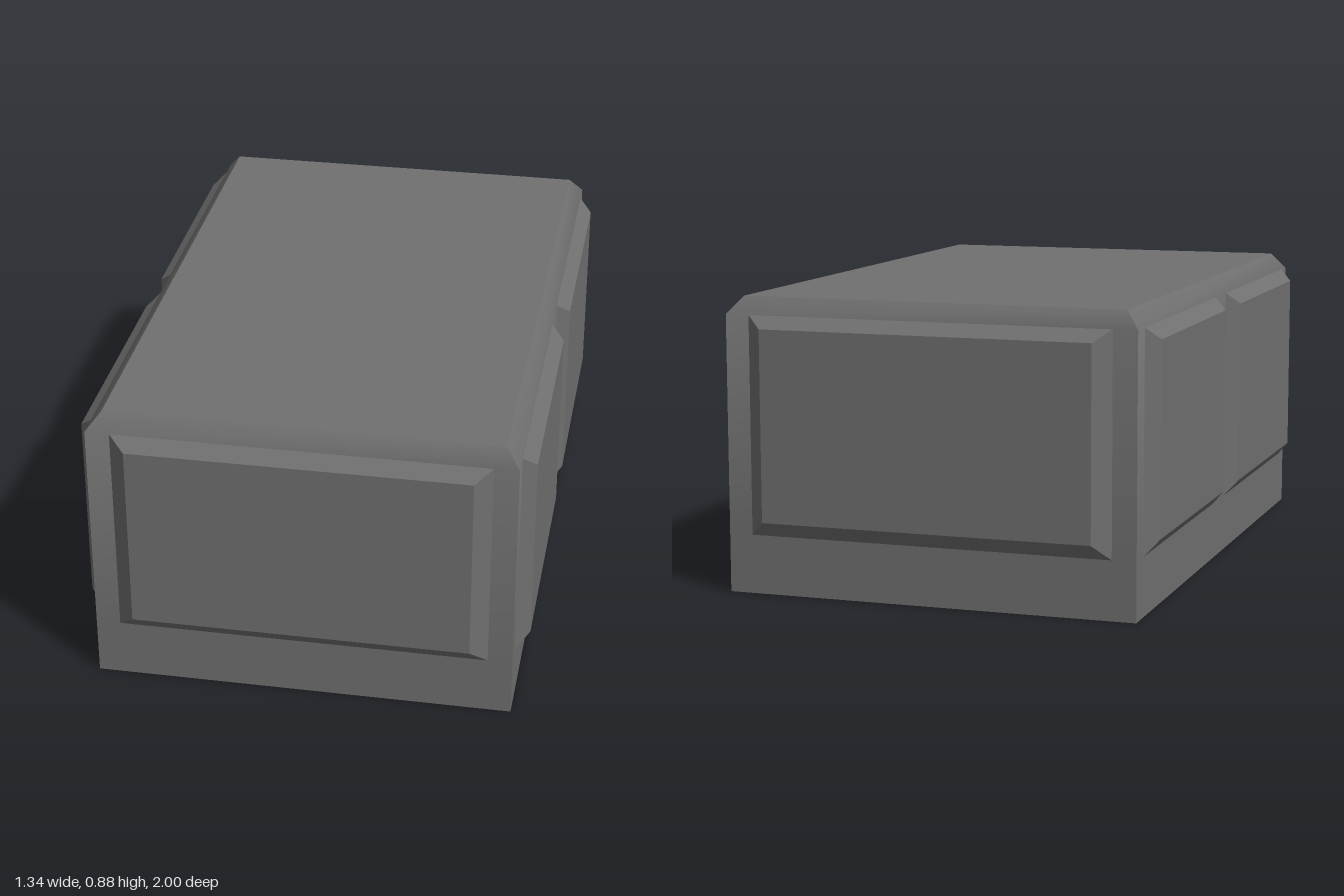
import * as THREE from 'three';
import { toCreasedNormals } from 'three/addons/utils/BufferGeometryUtils.js';

const material = new THREE.MeshStandardMaterial({ color: 0x707070 });

// Six-sided block; every corner is passed through a rule that moves it.
// Edges bent by less than 45 degrees are shaded smoothly.
function shapedBox(name, heightSegments, rule) {
  const geometry = new THREE.BoxGeometry(2, 2, 2, 1, heightSegments, 1);
  const pos = geometry.attributes.position;
  for (let i = 0; i < pos.count; i++) {
    pos.setXYZ(i, ...rule(pos.getX(i), pos.getY(i), pos.getZ(i)));
  }
  const mesh = new THREE.Mesh(toCreasedNormals(geometry, Math.PI / 4), material);
  mesh.name = name;
  return mesh;
}

// Raised panel facing +z, with sloping edges from its base to its smaller face.
// The slopes stay crisp because the whole panel is faceted.
function panel(name, baseHalf, faceHalf, depth) {
  const mesh = shapedBox(name, 1, (x, y, z) => [
    x * (z > 0 ? faceHalf : baseHalf),
    y > 0 ? (z > 0 ? 0.797 : 0.833) : (z > 0 ? 0.223 : 0.177),
    z > 0 ? depth : 0,
  ]);
  mesh.geometry.computeVertexNormals();
  return mesh;
}

export function createModel() {
  const group = new THREE.Group();
  group.name = 'panelledBlock';

  // Main body: plinth, straight walls, then a bevel blending softly into the walls
  const levels = [0, 0.177, 0.833, 0.885];
  group.add(shapedBox('body', 3, (x, y, z) => [
    x * (y > 0.9 ? 0.585 : 0.628),
    levels[Math.round((y + 1) * 1.5)],
    z * (y > 0.9 ? 0.921 : 0.96),
  ]));

  for (const s of [1, -1]) {
    // One wide panel on the front and back
    const end = panel(s > 0 ? 'frontPanel' : 'backPanel', 0.555, 0.505, 0.04);
    end.position.z = s * 0.96;
    end.rotation.y = s > 0 ? 0 : Math.PI;
    group.add(end);

    // Two panels on each side
    for (const t of [1, -1]) {
      const name = (s > 0 ? 'left' : 'right') + (t > 0 ? 'Front' : 'Rear') + 'Panel';
      const side = panel(name, 0.413, 0.378, 0.04);
      side.position.set(s * 0.628, 0, t * 0.478);
      side.rotation.y = s * Math.PI / 2;
      group.add(side);
    }
  }
  return group;
}
